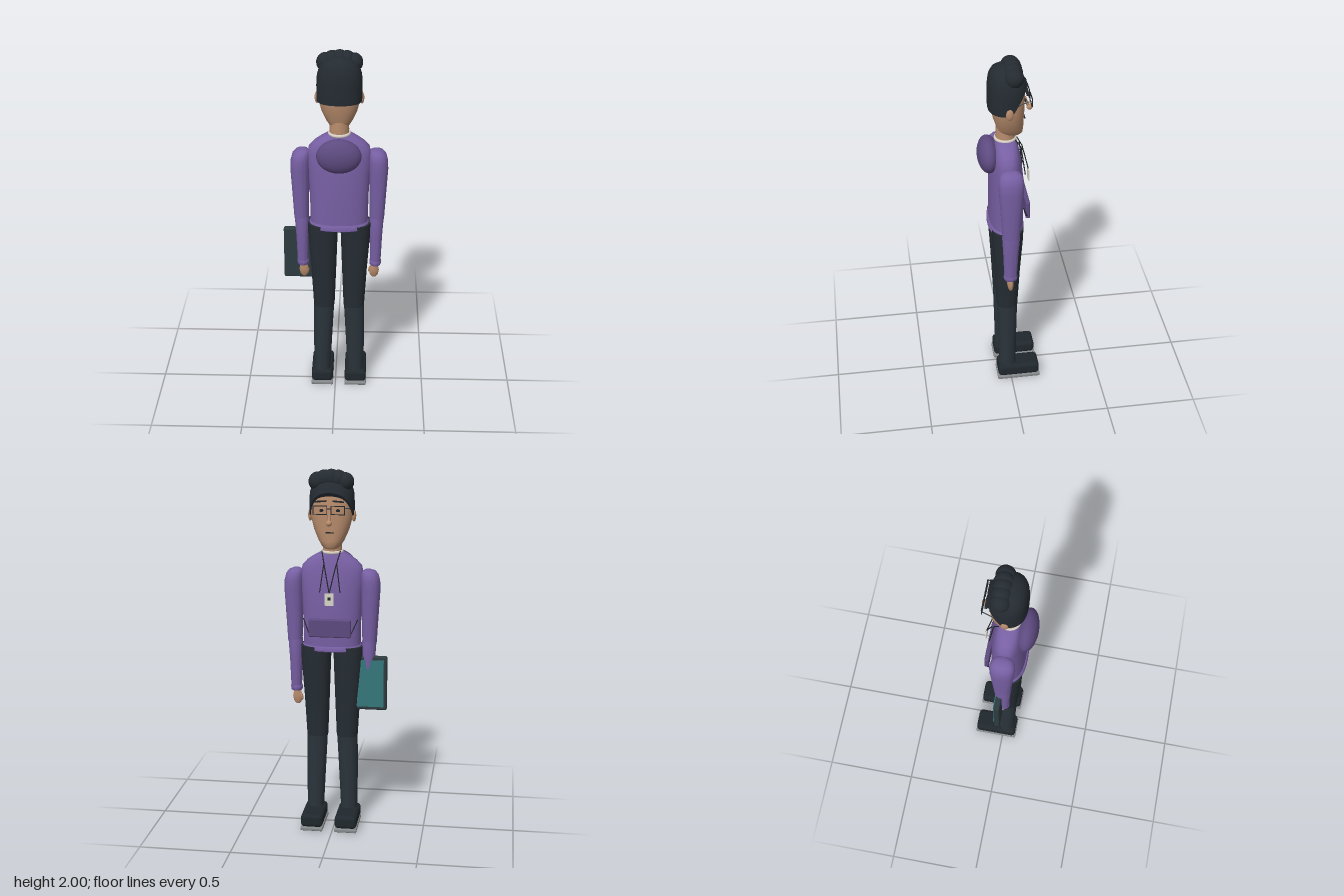
import * as THREE from 'three';
import { toCreasedNormals } from 'three/addons/utils/BufferGeometryUtils.js';
import { RoundedBoxGeometry } from 'three/addons/geometries/RoundedBoxGeometry.js';

const CX = 0.02; // body mid-line
const mat = (color) => new THREE.MeshStandardMaterial({ color });
const M = {
  skin: mat(0xb88c6c), hair: mat(0x242b31), top: mat(0x775fa3), dark: mat(0x5d4a80),
  thigh: mat(0x252d33), shin: mat(0x2a343b), shoe: mat(0x20282d), sole: mat(0x85888a),
  collar: mat(0xd6cec2), line: mat(0x22262a), metal: mat(0x4a4f55), tablet: mat(0x2d3b40),
  screen: mat(0x34777a), card: mat(0xd8d4c8),
};

// Closed body through superellipse rings [y, rx, rz, cx, cz]; rule may move each vertex
function loft(rings, power = 2, rule = null, seg = 36) {
  const pos = [], index = [];
  const first = rings[0], last = rings[rings.length - 1];
  const all = [[first[0], 0, 0, first[3], first[4]], ...rings, [last[0], 0, 0, last[3], last[4]]];
  const bend = (v) => Math.sign(v) * Math.abs(v) ** (2 / power);
  for (const [y, rx, rz, cx = 0, cz = 0] of all) {
    for (let j = 0; j < seg; j++) {
      const a = (j / seg) * Math.PI * 2;
      const v = new THREE.Vector3(cx + rx * bend(Math.cos(a)), y, cz + rz * bend(Math.sin(a)));
      if (rule) rule(v);
      pos.push(v.x, v.y, v.z);
    }
  }
  for (let i = 0; i < all.length - 1; i++) {
    for (let j = 0; j < seg; j++) {
      const k = (j + 1) % seg, a = i * seg, b = a + seg;
      index.push(a + j, b + j, a + k, a + k, b + j, b + k);
    }
  }
  const g = new THREE.BufferGeometry();
  g.setAttribute('position', new THREE.Float32BufferAttribute(pos, 3));
  g.setIndex(index);
  return toCreasedNormals(g, 0.7);
}

export function createModel() {
  const model = new THREE.Group();
  model.name = 'person';
  // x is measured from the body mid-line
  const add = (name, geo, material, x = 0, y = 0, z = 0, parent = model) => {
    const m = new THREE.Mesh(geo, material);
    m.name = name;
    m.position.set(x + (parent === model ? CX : 0), y, z);
    parent.add(m);
    return m;
  };
  const ball = (name, material, x, y, z, rx, ry = rx, rz = rx) => {
    const m = add(name, new THREE.SphereGeometry(1, 28, 20), material, x, y, z);
    m.scale.set(rx, ry, rz);
    return m;
  };
  const box = (name, material, x, y, z, w, h, d, r = 0) =>
    add(name, r ? new RoundedBoxGeometry(w, h, d, 4, r) : new THREE.BoxGeometry(w, h, d), material, x, y, z);
  const cord = (name, material, r, ...pts) => {
    const path = new THREE.CurvePath();
    const p = pts.map((q) => new THREE.Vector3(...q));
    for (let i = 1; i < p.length; i++) path.add(new THREE.LineCurve3(p[i - 1], p[i]));
    return add(name, new THREE.TubeGeometry(path, 12 * (p.length - 1), r, 6), material);
  };

  // Head, neck and collar
  add('head', loft([
    [1.58, 0.035, 0.05, 0, -0.015], [1.592, 0.05, 0.063, 0, -0.012], [1.625, 0.07, 0.07, 0, -0.008],
    [1.68, 0.094, 0.08, 0, 0], [1.75, 0.112, 0.088, 0, 0.005], [1.85, 0.112, 0.09, 0, 0.006],
    [1.92, 0.09, 0.07, 0, 0.006],
  ], 2.3), M.skin);
  add('neck', new THREE.CylinderGeometry(0.05, 0.053, 0.12, 32), M.skin, 0, 1.57, 0.015);
  const collar = add('collar', new THREE.TorusGeometry(0.052, 0.009, 10, 36), M.collar, 0, 1.556, 0.015);
  collar.rotation.x = Math.PI / 2;

  // Hair cap, its lower edge rising towards the forehead
  add('hair', loft([
    [1.74, 0.119, 0.1, 0, 0.007], [1.76, 0.12, 0.101, 0, 0.007], [1.79, 0.12, 0.101, 0, 0.007],
    [1.82, 0.12, 0.101, 0, 0.007], [1.85, 0.119, 0.1, 0, 0.007], [1.88, 0.116, 0.098, 0, 0.008],
    [1.92, 0.104, 0.088, 0, 0.012], [1.95, 0.083, 0.07, 0, 0.015], [1.968, 0.055, 0.045, 0, 0.017],
    [1.976, 0.02, 0.02, 0, 0.018],
  ], 2.35, (v) => { v.y = Math.max(v.y, Math.min(1.885, 1.74 - 1.55 * Math.min(0, v.z + 0.002))); }, 48), M.hair);
  [-2, -1, 0, 1, 2].forEach((i) =>
    ball('hairCurl', M.hair, i * 0.037, 1.95 - 0.004 * i * i, -0.02, 0.047, 0.05, 0.05));

  // Face
  ball('noseTip', M.skin, 0, 1.726, -0.111, 0.016);
  cord('noseBridge', M.skin, 0.009, [0, 1.79, -0.082], [0, 1.728, -0.106]);
  box('mouth', M.line, 0, 1.672, -0.083, 0.045, 0.005, 0.008);

  // Glasses and mirrored face parts
  const frame = new THREE.Shape();
  frame.moveTo(-0.038, -0.024).lineTo(0.038, -0.024).lineTo(0.038, 0.024).lineTo(-0.038, 0.024);
  const hole = new THREE.Path();
  hole.moveTo(-0.034, -0.02).lineTo(-0.034, 0.02).lineTo(0.034, 0.02).lineTo(0.034, -0.02);
  frame.holes.push(hole);
  const frameGeo = new THREE.ExtrudeGeometry(frame, { depth: 0.005, bevelEnabled: false });
  cord('glassesBridge', M.line, 0.003, [-0.012, 1.802, -0.112], [0.012, 1.802, -0.112]);

  for (const s of [-1, 1]) {
    const side = s > 0 ? 'positive' : 'negative';
    ball('ear', M.skin, s * 0.117, 1.752, 0.008, 0.012, 0.032, 0.02);
    ball('eye', M.line, s * 0.044, 1.79, -0.083, 0.011, 0.008, 0.006);
    const brow = box('eyebrow', M.line, s * 0.047, 1.838, -0.091, 0.06, 0.007, 0.014);
    brow.rotation.z = -s * 0.08;
    add('glassesFrame', frameGeo, M.line, s * 0.047, 1.795, -0.114);
    cord('glassesTemple', M.metal, 0.0025, [s * 0.084, 1.805, -0.111], [s * 0.098, 1.8, -0.06], [s * 0.116, 1.775, 0]);

    // Arm: sleeve, elbow, forearm, cuff and hand
    const arm = new THREE.Group();
    arm.name = side + 'Arm';
    arm.position.x = CX;
    model.add(arm);
    const X = (r) => r.map(([y, rx, rz, cx, cz]) => [y, rx, rz, s * cx, cz]);
    add('upperSleeve', loft(X([
      [1.06, 0.039, 0.046, 0.205, 0.013], [1.2, 0.045, 0.055, 0.207, 0.013], [1.35, 0.051, 0.065, 0.21, 0.013],
      [1.4, 0.051, 0.067, 0.208, 0.013], [1.435, 0.046, 0.062, 0.204, 0.013], [1.453, 0.036, 0.048, 0.199, 0.013],
      [1.462, 0.018, 0.026, 0.195, 0.013],
    ]), 2.3), M.top, 0, 0, 0, arm);
    add('forearmSleeve', loft(X([
      [0.79, 0.029, 0.034, 0.2, 0.015], [0.95, 0.034, 0.041, 0.201, 0.014],
      [1.06, 0.039, 0.048, 0.203, 0.013], [1.085, 0.036, 0.044, 0.204, 0.013],
    ]), 2.2), M.top, 0, 0, 0, arm);
    add('cuff', loft(X([
      [0.774, 0.029, 0.034, 0.199, 0.015], [0.78, 0.032, 0.037, 0.199, 0.015],
      [0.798, 0.032, 0.037, 0.199, 0.015], [0.804, 0.029, 0.034, 0.199, 0.015],
    ])), M.top, 0, 0, 0, arm);
    add('hand', loft(X([
      [0.695, 0.012, 0.008, 0.193, 0.013], [0.71, 0.023, 0.014, 0.193, 0.014], [0.735, 0.028, 0.018, 0.193, 0.015],
      [0.757, 0.022, 0.018, 0.195, 0.015], [0.78, 0.016, 0.016, 0.197, 0.015],
    ]), 2, null, 24), M.skin, 0, 0, 0, arm);
    const thumb = ball('thumb', M.skin, s * 0.171, 0.738, 0.005, 0.008, 0.022, 0.009);
    thumb.rotation.z = -s * 0.25;

    // Leg
    add('thigh', loft([
      [0.52, 0.058, 0.058, s * 0.083, 0.018], [0.75, 0.069, 0.069, s * 0.085, 0.017],
      [0.95, 0.08, 0.082, s * 0.089, 0.016], [1.04, 0.083, 0.086, s * 0.089, 0.016],
    ], 2.3), M.thigh);
    add('lowerLeg', loft([
      [0.06, 0.045, 0.046, s * 0.096, 0.017], [0.3, 0.052, 0.051, s * 0.091, 0.018],
      [0.53, 0.057, 0.057, s * 0.084, 0.018],
    ], 2.2), M.shin);
    box('shoe', M.shoe, s * 0.095, 0.058, -0.043, 0.122, 0.074, 0.236, 0.022);
    box('sole', M.sole, s * 0.095, 0.013, -0.043, 0.124, 0.02, 0.244, 0.006);

    // Hoodie cords, pocket slits and lanyard straps
    cord('hoodCord', M.line, 0.003, [s * 0.035, 1.5, -0.064], [s * 0.055, 1.35, -0.084]);
    cord('pocketSlit', M.line, 0.003, [s * 0.115, 1.125, -0.085], [s * 0.148, 1.2, -0.06]);
    cord('lanyard', M.line, 0.003, [s * 0.05, 1.565, -0.03], [s * 0.028, 1.48, -0.078], [0, 1.35, -0.108]);
  }

  // Hoodie body, hem, hood and front pocket
  add('hoodieBody', loft([
    [1.03, 0.155, 0.09, 0, 0.015], [1.2, 0.158, 0.091, 0, 0.013], [1.34, 0.165, 0.088, 0, 0.013],
    [1.43, 0.17, 0.08, 0, 0.014], [1.48, 0.162, 0.073, 0, 0.015], [1.51, 0.135, 0.066, 0, 0.015],
    [1.535, 0.098, 0.059, 0, 0.015], [1.557, 0.055, 0.052, 0, 0.015],
  ], 2.4, null, 48), M.top);
  add('hem', loft([
    [1.015, 0.156, 0.091, 0, 0.018], [1.02, 0.162, 0.097, 0, 0.018], [1.042, 0.162, 0.097, 0, 0.018],
    [1.05, 0.156, 0.091, 0, 0.018],
  ], 2.4, null, 48), M.top);
  ball('hood', M.dark, 0, 1.46, 0.107, 0.119, 0.095, 0.058);
  box('pocket', M.dark, 0, 1.155, -0.091, 0.23, 0.1, 0.024, 0.008);

  // Badge
  box('badge', M.card, 0, 1.317, -0.109, 0.048, 0.066, 0.006);
  box('badgeMark', M.line, 0, 1.322, -0.113, 0.014, 0.014, 0.003);

  // Tablet held under the arm
  box('tablet', M.tablet, -0.19, 0.833, -0.003, 0.23, 0.305, 0.033, 0.01);
  box('tabletScreen', M.screen, -0.19, 0.833, -0.022, 0.195, 0.265, 0.006);
  return model;
}
